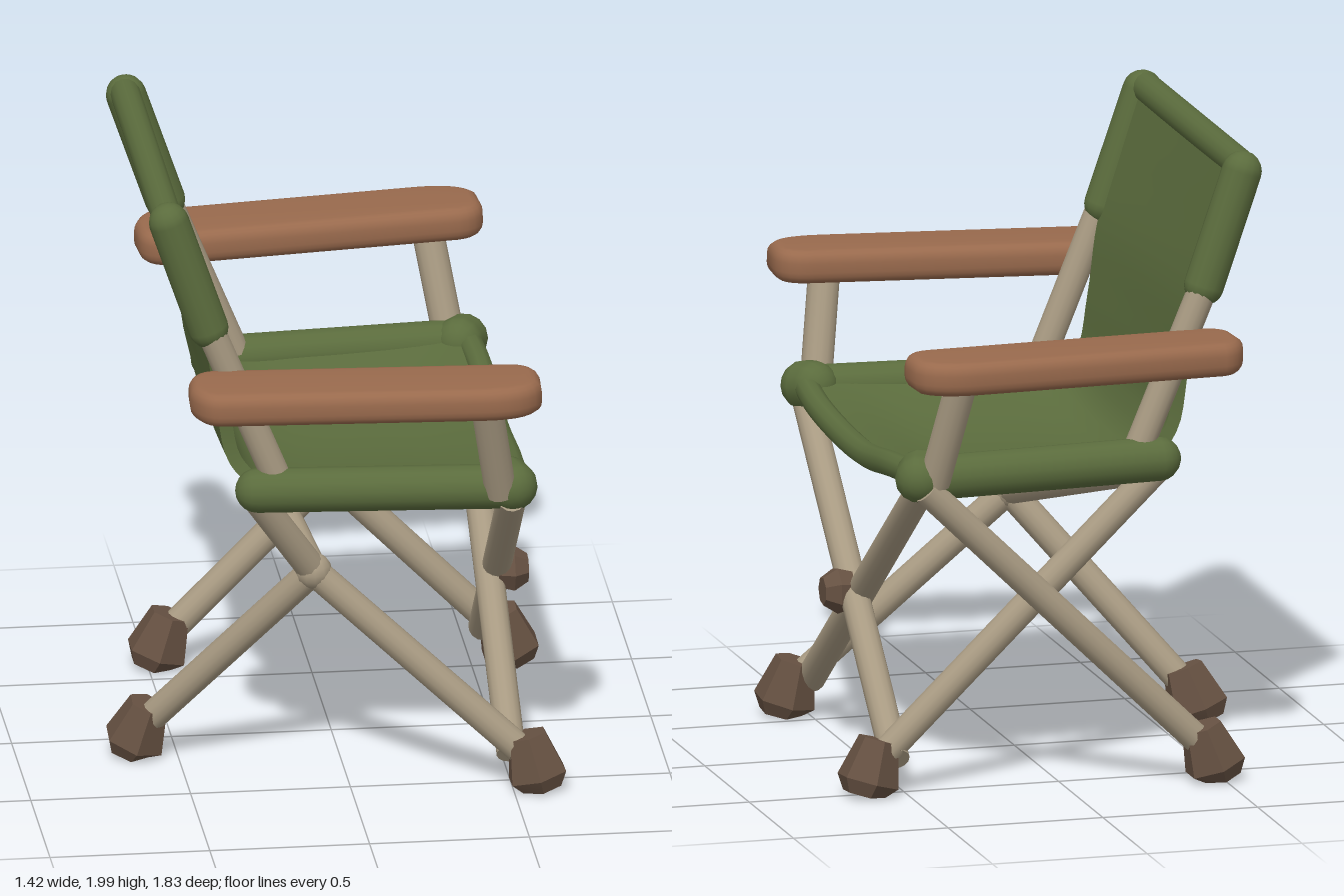
import * as THREE from 'three';
import { mergeVertices, toCreasedNormals } from 'three/addons/utils/BufferGeometryUtils.js';

const mat = (name, color) => {
  const m = new THREE.MeshStandardMaterial({ color });
  m.name = name;
  return m;
};
const V = (x, y, z) => new THREE.Vector3(x, y, z);
const UP = V(0, 1, 0);

export function createModel() {
  const root = new THREE.Group();
  root.name = 'foldingChair';
  const canvas = mat('green canvas', 0x5b6c3d);
  const wood = mat('brown armrest', 0x996a4d);
  const pole = mat('beige pole', 0xa89a82);
  const rubber = mat('dark brown cap', 0x665142);

  const add = (name, geo, material) => {
    const mesh = new THREE.Mesh(geo, material);
    mesh.name = name;
    root.add(mesh);
  };
  // Turn a geometry that runs along y so that it runs from a to b
  const align = (geo, a, b) => {
    const dir = b.clone().sub(a).normalize();
    geo.applyQuaternion(new THREE.Quaternion().setFromUnitVectors(UP, dir));
    const mid = a.clone().add(b).multiplyScalar(0.5);
    return geo.translate(mid.x, mid.y, mid.z);
  };
  const rod = (name, a, b, r = 0.046) =>
    add(name, align(new THREE.CylinderGeometry(r, r, a.distanceTo(b), 14), a, b), pole);
  const sleeve = (name, a, b, r) =>
    add(name, align(new THREE.CapsuleGeometry(r, a.distanceTo(b), 5, 14), a, b), canvas);

  // Key points of the frame
  const foot = {
    frontA: V(0.565, 0.095, 0.58), frontB: V(0.61, 0.095, -0.52),
    backA: V(-0.62, 0.095, 0.15), backB: V(-0.46, 0.095, -0.61),
  };
  const joint = V(-0.11, 0.71, 0.45);
  const rearA = V(-0.3, 1.0, 0.56), rearB = V(-0.3, 1.0, -0.56);

  // Crossed legs
  rod('frontLeg', V(0.495, 0.12, 0.57), V(0.485, 1.01, -0.65));
  rod('frontLeg', V(0.54, 0.12, -0.54), V(0.485, 1.01, 0.67));
  rod('sideLeg', foot.frontB, rearB);
  rod('sideLeg', foot.backB, V(0.48, 1.01, -0.68));
  rod('sideLeg', foot.frontA, joint);
  rod('sideLeg', joint, rearA);
  rod('rearLeg', foot.backA, joint);
  rod('rearBrace', joint, rearB);
  const knuckle = new THREE.SphereGeometry(0.058, 12, 8);
  knuckle.translate(joint.x, joint.y, joint.z);
  add('rearJoint', knuckle, pole);

  // Faceted feet, leaning with their legs
  const footProfile = [[0, -0.09], [0.07, -0.09], [0.1, -0.045], [0.065, 0.09], [0, 0.09]]
    .map(([r, y]) => new THREE.Vector2(r, y));
  const feet = [
    [foot.frontA, V(-0.25, 1, -0.1)], [foot.frontB, V(-0.3, 1, 0.08)],
    [foot.backA, V(0.35, 1, 0.15)], [foot.backB, V(0.35, 1, 0)],
  ];
  for (const [p, lean] of feet) {
    const geo = align(new THREE.LatheGeometry(footProfile, 6), p.clone().sub(lean), p.clone().add(lean));
    const pos = geo.attributes.position;
    for (let i = 0; i < pos.count; i++) pos.setY(i, Math.max(0.005, pos.getY(i)));
    add('foot', toCreasedNormals(geo, 0.3), rubber);
  }

  // Faceted cap where the front legs cross
  const capProfile = [[0, -0.05], [0.06, -0.05], [0.074, 0], [0.045, 0.045], [0, 0.045]]
    .map(([r, y]) => new THREE.Vector2(r, y));
  const cap = new THREE.LatheGeometry(capProfile, 7);
  cap.rotateZ(-Math.PI / 2).translate(0.565, 0.53, 0.035);
  add('crossingCap', toCreasedNormals(cap, 0.3), rubber);

  // Parts mirrored on the two sides
  for (const s of [1, -1]) {
    rod('backPole', V(-0.5, 1.7, 0.575 * s), V(-0.21, 1.0, 0.565 * s));
    rod('armPost', V(0.39, 1.38, 0.78 * s), V(0.45, 1.03, 0.67 * s), 0.05);
    sleeve('seatSleeve', V(-0.3, 1.035, 0.58 * s), V(0.48, 1.035, 0.635 * s), 0.07);
    sleeve('seatCorner', V(0.475, 1.045, 0.61 * s), V(0.49, 1.04, 0.645 * s), 0.078);
    sleeve('backSleeve', V(-0.452, 1.575, 0.563 * s), V(-0.575, 1.932, 0.56 * s), 0.063);

    // Padded armrest, wider apart at the front
    const outline = new THREE.Shape();
    outline.moveTo(-0.44, 0.61 * s);
    outline.lineTo(0.45, 0.688 * s);
    outline.quadraticCurveTo(0.53, 0.69 * s, 0.53, 0.75 * s);
    outline.lineTo(0.525, 0.83 * s);
    outline.quadraticCurveTo(0.49, 0.89 * s, 0.37, 0.88 * s);
    outline.lineTo(-0.44, 0.808 * s);
    outline.quadraticCurveTo(-0.48, 0.8 * s, -0.495, 0.73 * s);
    outline.lineTo(-0.49, 0.65 * s);
    outline.quadraticCurveTo(-0.48, 0.61 * s, -0.44, 0.61 * s);
    const arm = new THREE.ExtrudeGeometry(outline, {
      depth: 0.03, bevelEnabled: true, bevelSize: 0.034, bevelThickness: 0.038,
      bevelSegments: 4, curveSegments: 6,
    });
    arm.rotateX(Math.PI / 2).rotateZ(0.012).translate(0, 1.415, 0);
    add('armrest', toCreasedNormals(arm, 0.8), wood);
  }

  // Top hem of the backrest and sagging front hem of the seat
  sleeve('backTopHem', V(-0.58, 1.945, -0.55), V(-0.58, 1.945, 0.55), 0.047);
  const hem = new THREE.CatmullRomCurve3([
    V(0.5, 1.05, 0.62), V(0.515, 1.025, 0.4), V(0.515, 1.0, 0.1),
    V(0.515, 1.0, -0.15), V(0.515, 1.035, -0.42), V(0.5, 1.05, -0.62),
  ]);
  add('seatFrontHem', new THREE.TubeGeometry(hem, 24, 0.04, 10), canvas);

  // One canvas sheet from the backrest top to the seat front; z holds the half width
  const sheet = new THREE.CatmullRomCurve3([
    V(-0.578, 1.96, 0.56), V(-0.51, 1.75, 0.55), V(-0.44, 1.52, 0.53), V(-0.4, 1.3, 0.5),
    V(-0.36, 1.11, 0.51), V(-0.27, 1.04, 0.55), V(0, 1.035, 0.58), V(0.27, 1.04, 0.6), V(0.51, 1.05, 0.62),
  ]);
  let panel = new THREE.BoxGeometry(1, 0.042, 1, 40, 1, 16);
  const pos = panel.attributes.position;
  for (let i = 0; i < pos.count; i++) {
    const u = pos.getX(i) + 0.5, w = pos.getZ(i) * 2;
    const p = sheet.getPoint(u), t = sheet.getTangent(u);
    const len = Math.hypot(t.x, t.y);
    const sag = 0.01 + 0.075 * THREE.MathUtils.smoothstep(u, 0.48, 0.75) - 0.035 * THREE.MathUtils.smoothstep(u, 0.85, 1);
    const off = pos.getY(i) - sag * (1 - w * w);
    pos.setXYZ(i, p.x - (t.y / len) * off, p.y + (t.x / len) * off, p.z * w);
  }
  panel.deleteAttribute('uv');
  panel.deleteAttribute('normal');
  panel = mergeVertices(panel);
  add('canvasSheet', toCreasedNormals(panel, 0.8), canvas);

  return root;
}
